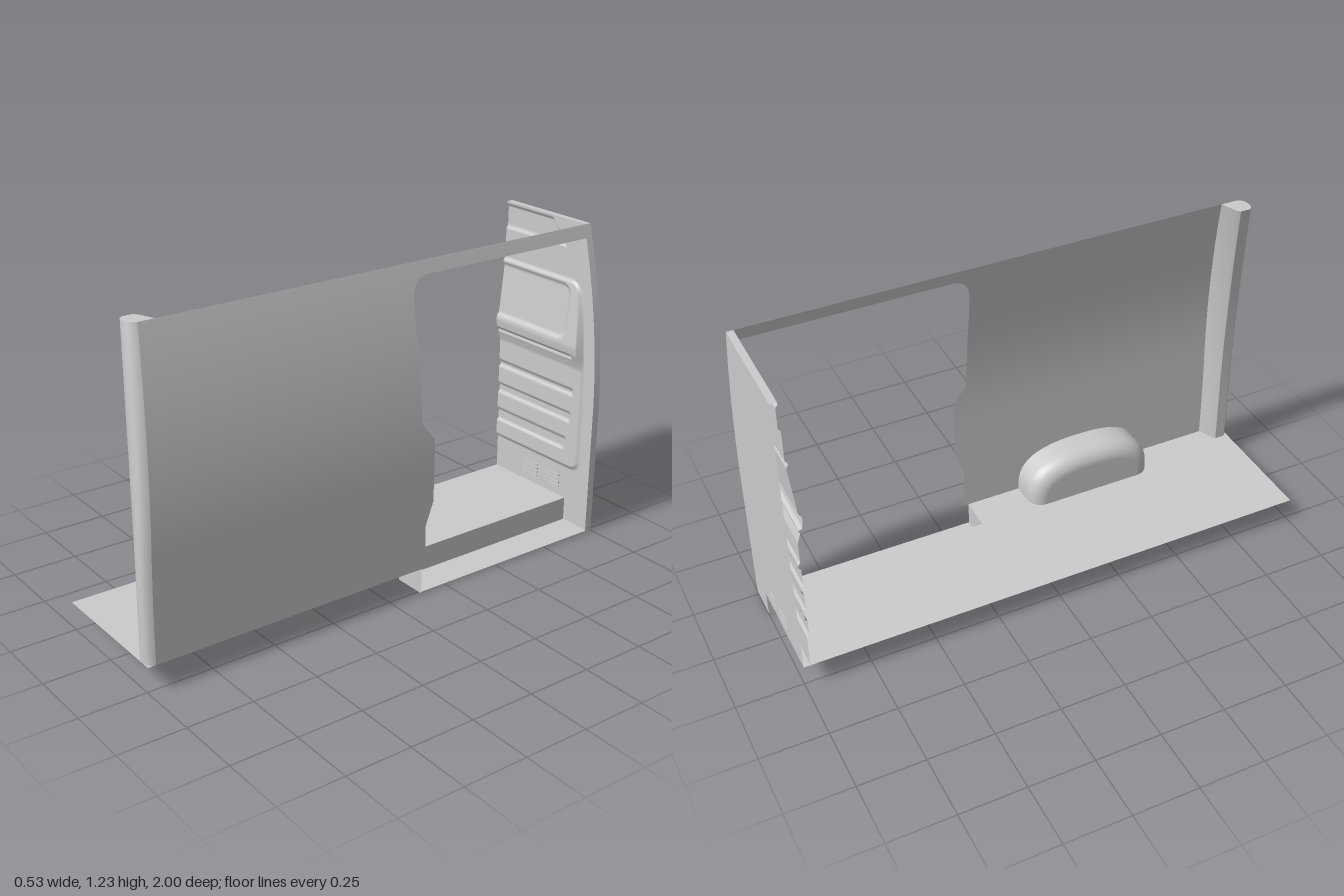
import * as THREE from 'three';
import { toCreasedNormals } from 'three/addons/utils/BufferGeometryUtils.js';

const mat = new THREE.MeshStandardMaterial({ color: 0xcccccc, side: THREE.DoubleSide });
const TOP = 1.23, FLOOR = 0.1, LEFT = -0.27, SILL = 0.135, DOOR = -0.135;
const { clamp, lerp, smoothstep } = THREE.MathUtils;

// Body curves as functions of height
const wallX = (y) => 0.265 - 0.105 * (Math.max(0, y - 0.5) / 0.73) ** 2;
const rearZ = (y) => 1 - 0.058 * (Math.max(0, y - 0.1) / 1.13) ** 2.2;
const pillarX = (y) => 0.194 - 0.109 * (Math.max(0, y - 0.3) / 0.93) ** 1.9;

// Linear interpolation in a short table of [key, value]
function table(points, k) {
  for (let i = 1; i < points.length; i++) {
    const [a, va] = points[i - 1], [b, vb] = points[i];
    if (k <= b) return lerp(va, vb, clamp((k - a) / (b - a), 0, 1));
  }
  return points[points.length - 1][1];
}

// Surface from a grid of points fn(u, v) with u, v in 0..1
function surface(nu, nv, fn) {
  const pos = [], idx = [];
  for (let j = 0; j <= nv; j++) {
    for (let i = 0; i <= nu; i++) {
      pos.push(...fn(i / nu, j / nv));
      if (i < nu && j < nv) {
        const a = j * (nu + 1) + i, b = a + nu + 1;
        idx.push(a, a + 1, b, a + 1, b + 1, b);
      }
    }
  }
  const g = new THREE.BufferGeometry();
  g.setAttribute('position', new THREE.Float32BufferAttribute(pos, 3));
  g.setIndex(idx);
  g.computeVertexNormals();
  return g;
}

const outline = (pts) => new THREE.Shape(pts.map(([x, y]) => new THREE.Vector2(x, y)));

// Signed distance to a convex polygon (counter-clockwise), negative inside
function polyDist(pts, x, y) {
  let d = -Infinity;
  pts.forEach(([ax, ay], i) => {
    const [bx, by] = pts[(i + 1) % pts.length];
    const ex = bx - ax, ey = by - ay;
    d = Math.max(d, ((x - ax) * ey - (y - ay) * ex) / Math.hypot(ex, ey));
  });
  return d;
}

function roundRectDist(x, y, x0, x1, y0, y1, r) {
  const qx = Math.abs(x - (x0 + x1) / 2) - (x1 - x0) / 2 + r;
  const qy = Math.abs(y - (y0 + y1) / 2) - (y1 - y0) / 2 + r;
  return Math.hypot(Math.max(qx, 0), Math.max(qy, 0)) + Math.min(Math.max(qx, qy), 0) - r;
}

// Pressed shapes of the bulkhead
const bulge = [[0.24, -0.966], [0.66, -0.966], [0.69, -0.957], [0.72, -0.945], [0.75, -0.941], [0.79, -0.945], [1, -0.967]];
const pressings = [
  [[-0.5, 0.7], [0.15, 0.7], [0.15, 0.715], [-0.5, 0.715]],
  [[-0.5, 0.545], [0.153, 0.545], [0.155, 0.572], [-0.5, 0.572]],
  [[-0.5, 0.432], [0.147, 0.432], [0.15, 0.473], [-0.5, 0.473]],
  [[-0.5, 0.31], [0.118, 0.31], [0.132, 0.362], [-0.5, 0.362]],
  [[-0.5, 1.125], [0.006, 1.125], [-0.006, 1.218], [-0.5, 1.218]],
  [[0.022, 1.125], [0.073, 1.125], [0.01, 1.195]],
];

function bulkheadZ(x, y) {
  const panel = roundRectDist(x, y, -1, wallX(y) - 0.065, 0.24, 1, 0.04);
  let z = lerp(table(bulge, y), -0.975, smoothstep(panel, -0.006, 0.003));
  const dent = (d, depth, soft) => { z -= depth * (1 - smoothstep(d, -soft, 0.001)); };
  pressings.forEach((p) => dent(polyDist(p, x, y), 0.008, 0.006));
  dent(roundRectDist(x, y, -1, 0.118, 0.765, 0.987, 0.045), 0.009, 0.016);
  return z;
}

export function createModel() {
  const model = new THREE.Group();
  const add = (name, geometry, parent = model) => {
    const m = new THREE.Mesh(geometry, mat);
    m.name = name;
    parent.add(m);
    return m;
  };
  const group = (name) => {
    const g = new THREE.Group();
    g.name = name;
    model.add(g);
    return g;
  };

  // Floor, cut away at the side step
  const floor = new THREE.ShapeGeometry(outline([
    [LEFT, -1], [0.264, -1], [0.264, -DOOR], [SILL, -DOOR], [SILL, 1], [LEFT, 1],
  ]));
  add('floor', floor.rotateX(-Math.PI / 2)).position.y = FLOOR;

  // Step well: tread, riser and end plate
  const well = group('stepWell');
  const len = DOOR + 1, mid = (DOOR - 1) / 2, wide = 0.265 - SILL;
  add('tread', new THREE.BoxGeometry(wide, 0.006, len), well).position.set(SILL + wide / 2, 0.003, mid);
  add('riser', new THREE.PlaneGeometry(len, FLOOR).rotateY(Math.PI / 2), well).position.set(SILL, FLOOR / 2, mid);
  for (const z of [DOOR, -0.975]) {
    add('endPlate', new THREE.PlaneGeometry(wide, FLOOR), well).position.set(SILL + wide / 2, FLOOR / 2, z);
  }

  // Curved side wall with door opening
  const doorEdge = [[0.1, -0.15], [0.27, -0.15], [0.36, -0.183], [0.6, -0.185], [0.67, -0.13], [1, -0.131],
    [1.1, -0.135], [1.13, -0.141], [1.155, -0.155], [1.17, -0.172], [1.18, -0.2]];
  const side = group('sideWall');
  const strip = (name, y0, y1, z0, z1, n) => add(name, surface(1, n, (u, v) => {
    const y = lerp(y0, y1, v);
    return [wallX(y), y, lerp(z0(y), z1(y), u)];
  }), side);
  strip('wallPanel', FLOOR, 1.18, (y) => table(doorEdge, y), (y) => rearZ(y) - 0.03, 108);
  strip('doorHeader', 1.18, TOP, () => -1, (y) => rearZ(y) - 0.03, 6);
  strip('frontPost', 0, 1.18, () => -1, () => -0.97, 50);

  // Rear pillar, a closed section that follows the body curves
  const section = (y) => {
    const xo = wallX(y), xi = pillarX(y), z = rearZ(y);
    return [[xo, z - 0.09], [xi + 0.012, z - 0.066], [xi, z - 0.055], [xi, z - 0.016], [xi + 0.012, z - 0.004],
      [xo - 0.04, z], [xo - 0.02, z - 0.003], [xo - 0.006, z - 0.013], [xo, z - 0.03]];
  };
  const pillar = group('rearPillar');
  add('pillarSkin', toCreasedNormals(surface(8, 40, (u, v) => {
    const y = lerp(FLOOR, TOP, v);
    const [x, z] = section(y)[Math.round(u * 8)];
    return [x, y, z];
  }), 0.7), pillar);
  const cap = new THREE.ShapeGeometry(outline(section(TOP).map(([x, z]) => [x, -z])));
  add('pillarCap', cap.rotateX(-Math.PI / 2), pillar).position.y = TOP;

  // Wheel arch: rounded hump against the side wall
  const archAt = (t, x, inset) => {
    const c = Math.cos(t), s = Math.sin(t);
    return [x, FLOOR + (0.183 - inset) * s ** 0.65,
      0.34 + (0.26 - inset) * Math.sign(c) * Math.abs(c) ** 0.8];
  };
  add('wheelArch', surface(48, 18, (u, v) => {
    const t = clamp(u * Math.PI, 0, Math.PI - 1e-9);
    if (v < 1 / 18) return archAt(t, 0.263, 0);
    const a = Math.min(1, (v * 18 - 1) / 12) * Math.PI / 2;
    const p = archAt(t, 0.19 - 0.06 * Math.sin(a), 0.06 * (1 - Math.cos(a)));
    const k = Math.max(0, (v * 18 - 13) / 5); // close the inner face
    return [p[0], lerp(p[1], FLOOR, k), lerp(p[2], 0.34, k)];
  }));

  // Bulkhead: pressed inner panel, flat outer panel with slots, top edge
  const bulkhead = group('bulkhead');
  add('innerPanel', surface(90, 200, (u, v) => {
    const y = lerp(FLOOR, TOP, v), x = lerp(LEFT, wallX(y), u);
    return [x, y, bulkheadZ(x, y)];
  }), bulkhead);

  const edge = [[LEFT, FLOOR], [SILL, FLOOR], [SILL, 0], [0.265, 0]];
  for (let i = 0; i <= 30; i++) {
    const y = lerp(0.45, TOP, i / 30);
    edge.push([wallX(y), y]);
  }
  edge.push([LEFT, TOP]);
  const outer = outline(edge);
  const vents = [-0.068, 0.058], rows = [0.138, 0.154, 0.17, 0.186];
  for (const x of vents) {
    for (const y of rows) {
      outer.holes.push(new THREE.Path([[-1, -1], [1, -1], [1, 1], [-1, 1]]
        .map(([a, b]) => new THREE.Vector2(x + a * 0.042, y + b * 0.0035))));
      // Louvre on the inner side
      add('louvre', new THREE.BoxGeometry(0.084, 0.007, 0.006), bulkhead).position.set(x, y, -0.974);
    }
  }
  add('outerPanel', new THREE.ShapeGeometry(outer), bulkhead).position.z = -1;
  add('topEdge', new THREE.PlaneGeometry(0.43, 0.025).rotateX(-Math.PI / 2), bulkhead)
    .position.set(LEFT + 0.215, TOP, -0.9875);

  return model;
}
